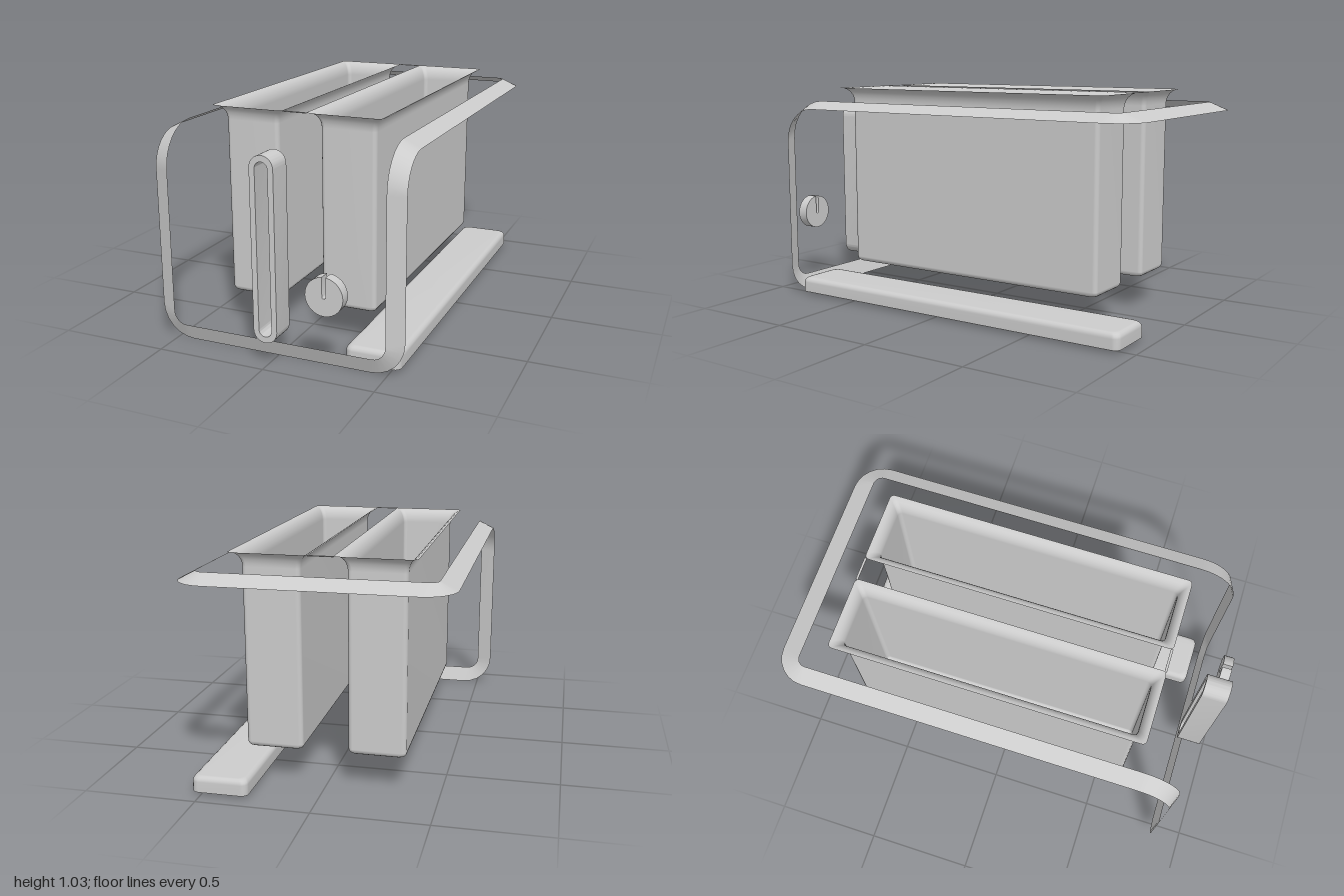
import * as THREE from 'three';
import { toCreasedNormals } from 'three/addons/utils/BufferGeometryUtils.js';

const grey = new THREE.MeshStandardMaterial({ color: 0xcccccc, side: THREE.DoubleSide });
grey.name = 'grey';

function add(parent, name, geometry) {
  const mesh = new THREE.Mesh(geometry, grey);
  mesh.name = name;
  parent.add(mesh);
  return mesh;
}

function indexed(points, index) {
  const g = new THREE.BufferGeometry().setFromPoints(points);
  g.setIndex(index);
  g.computeVertexNormals();
  return g;
}

// Rounded-rectangle shell lofted through sections [inset, y]; the first section is capped
function shell(x0, x1, z0, z1, radius, sections, capDown) {
  const cx = (x0 + x1) / 2, cz = (z0 + z1) / 2, N = 4, per = 4 * (N + 1);
  const points = [], index = [];
  const tri = (a, b, c) => (capDown ? index.push(a, b, c) : index.push(a, c, b));
  for (const [inset, y] of sections) {
    const hw = (x1 - x0) / 2 - inset, hd = (z1 - z0) / 2 - inset;
    for (let q = 0; q < 4; q++) {
      const sx = q === 0 || q === 3 ? 1 : -1, sz = q < 2 ? 1 : -1;
      for (let i = 0; i <= N; i++) {
        const a = (q + i / N) * Math.PI / 2;
        points.push(new THREE.Vector3(
          cx + sx * (hw - radius) + radius * Math.cos(a), y,
          cz + sz * (hd - radius) + radius * Math.sin(a)));
      }
    }
  }
  const center = points.length;
  points.push(new THREE.Vector3(cx, sections[0][1], cz));
  for (let i = 0; i < per; i++) {
    const j = (i + 1) % per;
    tri(center, i, j);
    for (let s = 0; s < sections.length - 1; s++) {
      const a = s * per, b = a + per;
      tri(a + i, b + i, b + j);
      tri(a + i, b + j, a + j);
    }
  }
  return indexed(points, index);
}

// Sloped ribbon around the top and front openings, one half mirrored to the other
function trimGeometry() {
  const half = [];
  const V = (x, y, z) => new THREE.Vector3(x, y, z);
  const arc = (n, fn) => {
    for (let i = 0; i <= n; i++) {
      const a = (i / n) * Math.PI / 2;
      half.push(fn(Math.sin(a), Math.cos(a)));
    }
  };
  // back corner, seen from the top
  arc(6, (s, c) => [
    V(0.46 + 0.04 * s, 1.047, -0.865 - 0.04 * c),
    V(0.435 + 0.14 * s, 1.01, -0.86 - 0.14 * c)]);
  // bend from the top to the front
  arc(8, (s, c) => [
    V(0.5, 0.857 + 0.19 * c, 0.69 + 0.19 * s),
    V(0.575, 0.85 + 0.16 * c, 0.69 + 0.16 * s)]);
  // lower front corner
  arc(6, (s, c) => [
    V(0.44 + 0.06 * c, 0.215 - 0.06 * s, 0.88),
    V(0.425 + 0.15 * c, 0.23 - 0.15 * s, 0.85)]);
  const mirrored = half.map(([a, b]) => [V(-a.x, a.y, a.z), V(-b.x, b.y, b.z)]).reverse();
  const loop = [...half, ...mirrored], n = loop.length, index = [];
  for (let i = 0; i < n; i++) {
    const a = 2 * i, b = 2 * ((i + 1) % n);
    index.push(a, a + 1, b + 1, a, b + 1, b);
  }
  return indexed(loop.flat(), index);
}

// Upright capsule outline
function capsule(target, r, y0, y1) {
  target.absarc(0, y1 - r, r, 0, Math.PI, false);
  target.absarc(0, y0 + r, r, Math.PI, 2 * Math.PI, false);
  target.closePath();
  return target;
}

function extrude(shape, depth, z) {
  const g = new THREE.ExtrudeGeometry(shape, { depth, bevelEnabled: false, curveSegments: 14 });
  return toCreasedNormals(g.translate(0, 0, z), 0.6);
}

export function createModel() {
  const model = new THREE.Group();
  model.name = 'toasterParts';

  add(model, 'trimBand', trimGeometry());

  // Bread slots: rounded floor, straight walls, flared lip
  const sections = [];
  for (let i = 0; i <= 4; i++) {
    const a = (i / 4) * Math.PI / 2;
    sections.push([0.025 * (1 - Math.sin(a)), 0.238 + 0.025 * (1 - Math.cos(a))]);
  }
  for (let i = 0; i <= 6; i++) {
    const a = (i / 6) * Math.PI / 2;
    sections.push([-0.047 * (1 - Math.cos(a)), 1.04 + 0.068 * Math.sin(a)]);
  }
  const slots = new THREE.Group();
  slots.name = 'breadSlots';
  model.add(slots);
  add(slots, 'leftSlot', shell(0.1, 0.353, -0.738, 0.62, 0.02, sections, true));
  add(slots, 'rightSlot', shell(-0.353, -0.1, -0.738, 0.62, 0.02, sections, true));

  // Thin strips joining the two lips
  for (const [name, z] of [['backLipBridge', -0.779], ['frontLipBridge', 0.661]]) {
    add(slots, name, new THREE.BoxGeometry(0.112, 0.003, 0.011)).position.set(0, 1.107, z);
  }

  // Lever guide: open upright capsule tube
  const guide = capsule(new THREE.Shape(), 0.054, 0.186, 0.99);
  guide.holes.push(capsule(new THREE.Path(), 0.029, 0.213, 0.963));
  add(model, 'leverGuide', extrude(guide, 0.117, 0.85));

  // Round dial with an open notch from the centre to the top
  const r = 0.083, w = 0.008, edge = Math.acos(w / r);
  const dial = new THREE.Shape();
  dial.absarc(0, 0, r, Math.PI - edge, edge + 2 * Math.PI, false);
  dial.absarc(0, 0, w, 0, Math.PI, true);
  dial.curves.pop();
  dial.currentPoint.set(w, r * Math.sin(edge));
  dial.lineTo(w, 0);
  dial.absarc(0, 0, w, 0, -Math.PI, true);
  dial.closePath();
  add(model, 'dial', extrude(dial, 0.05, 0.95)).position.set(0.284, 0.449, 0);

  // Tray: shallow cover, rounded on top and open below
  const traySections = [];
  for (let i = 0; i <= 4; i++) {
    const a = (i / 4) * Math.PI / 2;
    traySections.push([0.025 * (1 - Math.sin(a)), 0.14 + 0.025 * Math.cos(a)]);
  }
  traySections.push([0, 0.093]);
  add(model, 'tray', shell(0.292, 0.54, -0.938, 0.818, 0.03, traySections, false));

  return model;
}
